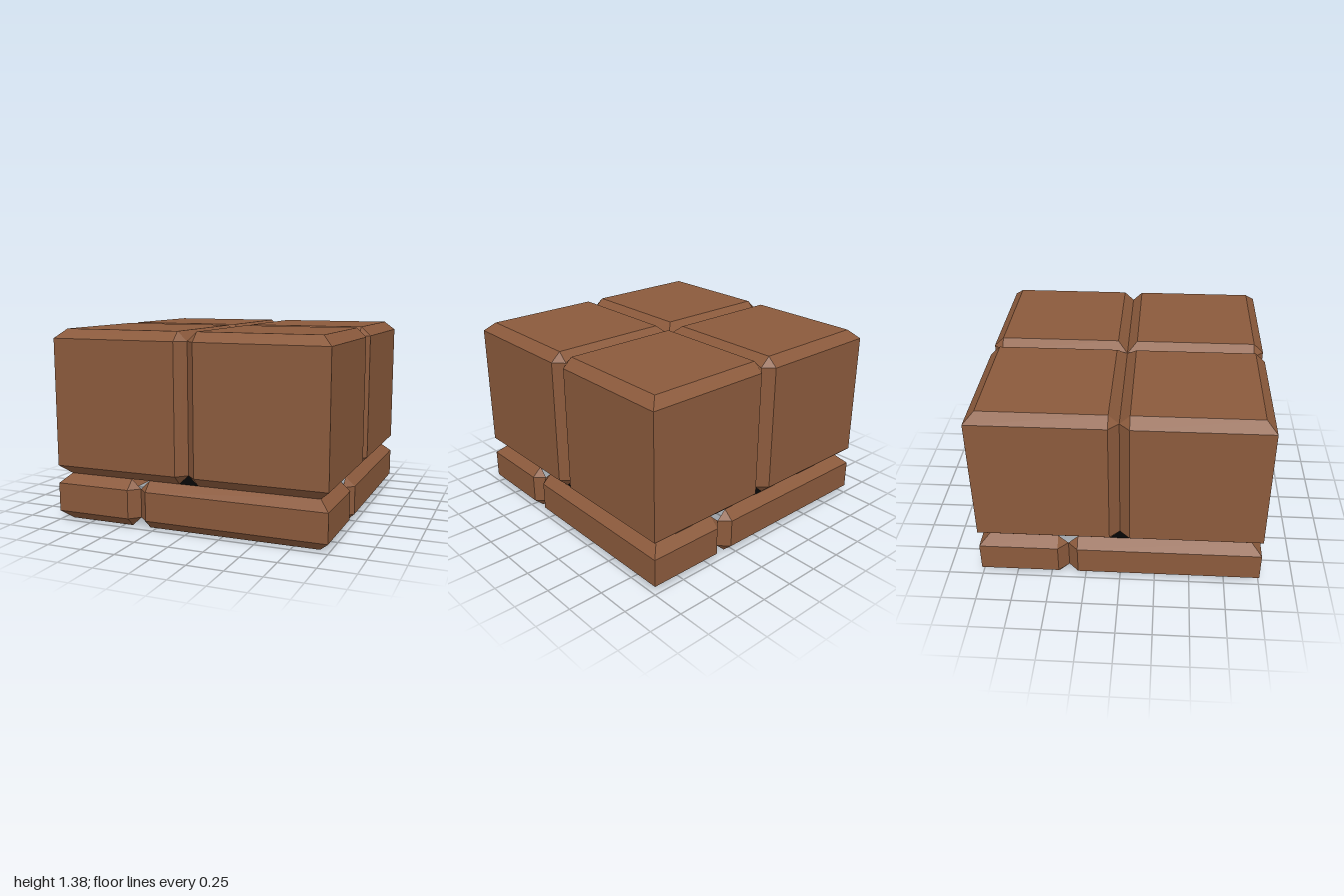
import * as THREE from 'three';

const BEVEL = 0.07;

// Flat-faced geometry from a list of quads (collapsed corners become triangles)
function quadsToGeometry(quads) {
  const pos = [];
  const tri = (a, b, c) => {
    const n = new THREE.Vector3().crossVectors(b.clone().sub(a), c.clone().sub(a));
    if (n.length() > 1e-7) for (const p of [a, b, c]) pos.push(p.x, p.y, p.z);
  };
  for (const [a, b, c, d] of quads) {
    tri(a, b, c);
    tri(a, c, d);
  }
  const g = new THREE.BufferGeometry();
  g.setAttribute('position', new THREE.Float32BufferAttribute(pos, 3));
  g.computeVertexNormals();
  return g;
}

// Hollow bevelled corner stone: runs along the front from x = start,
// round the corner at (1, 1) and along the side to z = end
function cornerStone(start, end, y0, y1, withTop) {
  const b = BEVEL, e = 1 - b;
  const outer = [[start, e], [start + b, 1], [1, 1], [1, end + b], [e, end]];
  const inner = [[start + b, e], [start + b, e], [e, e], [e, end + b], [e, end + b]];
  const ring = (pts, y) => pts.map(([x, z]) => new THREE.Vector3(x, y, z));
  const h = 0.065;
  const rings = [ring(inner, y0), ring(outer, y0 + h), ring(outer, y1 - h), ring(inner, y1)];
  const quads = [];
  for (let r = 0; r < 3; r++)
    for (let i = 0; i < 4; i++)
      quads.push([rings[r][i], rings[r][i + 1], rings[r + 1][i + 1], rings[r + 1][i]]);
  if (withTop) {
    // flat top and the two slopes facing the neighbouring stones
    const P = rings[2], Q = rings[3];
    const p = new THREE.Vector3(start, y1 - h, end);
    const q = new THREE.Vector3(start + b, y1, end + b);
    quads.push([Q[0], Q[2], Q[3], q], [p, P[0], Q[0], q], [P[4], p, q, Q[4]]);
  }
  return quadsToGeometry(quads);
}

export function createModel() {
  const brick = new THREE.MeshStandardMaterial({ color: 0x8b5a3c, side: THREE.DoubleSide, flatShading: true });
  brick.name = 'brown brick';
  const dark = new THREE.MeshStandardMaterial({ color: 0x050505, side: THREE.DoubleSide });
  dark.name = 'black ledge';

  const model = new THREE.Group();
  model.name = 'brickCap';

  // Four large blocks on top, four L-shaped base bricks in a pinwheel below
  const blockGeo = cornerStone(0, 0, 0.335, 1.375, true);
  const baseGeo = cornerStone(-0.37, 0.37, 0, 0.335, false);
  for (let i = 0; i < 4; i++) {
    for (const [name, geo] of [['upperBlock', blockGeo], ['baseBrick', baseGeo]]) {
      const m = new THREE.Mesh(geo, brick);
      m.name = name + (i + 1);
      m.rotation.y = (i * Math.PI) / 2;
      model.add(m);
    }
  }

  // Thin ledge between the two courses, open in the middle
  const square = (s) => [[-s, -s], [s, -s], [s, s], [-s, s]].map(([x, y]) => new THREE.Vector2(x, y));
  const shape = new THREE.Shape(square(1 - BEVEL));
  shape.holes.push(new THREE.Path(square(0.65)));
  const ledge = new THREE.Mesh(new THREE.ShapeGeometry(shape), dark);
  ledge.name = 'innerLedge';
  ledge.rotation.x = -Math.PI / 2;
  ledge.position.y = 0.335;
  model.add(ledge);

  return model;
}
